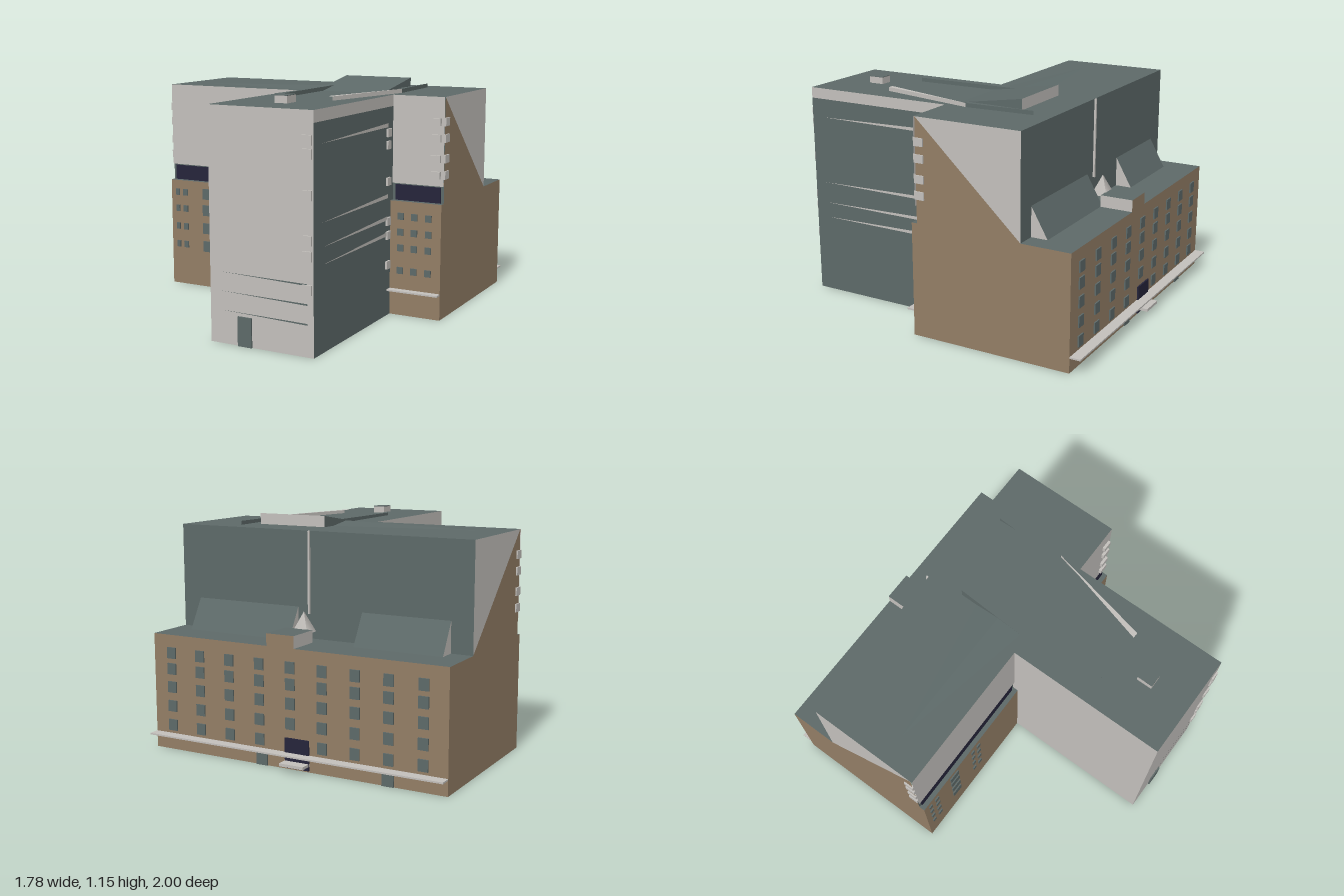
import * as THREE from 'three';

const mat = (name, color) => {
  const m = new THREE.MeshStandardMaterial({ color, side: THREE.DoubleSide });
  m.name = name;
  return m;
};

export function createModel() {
  const pale = mat('pale render', 0xc2bfbb);
  const tan = mat('tan stone', 0x927d65);
  const slate = mat('slate', 0x5d6968);
  const navy = mat('dark glazing', 0x25243a);

  const model = new THREE.Group();
  const building = new THREE.Group();
  building.name = 'building';
  building.rotation.y = -0.281;
  model.add(building);

  // Flat convex panel from its corner points
  function panel(name, m, ...pts) {
    const pos = [];
    for (let i = 1; i < pts.length - 1; i++) pos.push(...pts[0], ...pts[i], ...pts[i + 1]);
    const g = new THREE.BufferGeometry();
    g.setAttribute('position', new THREE.Float32BufferAttribute(pos, 3));
    g.computeVertexNormals();
    const mesh = new THREE.Mesh(g, m);
    mesh.name = name;
    building.add(mesh);
  }
  // Upright wall facing front or back, upright wall facing a side, level roof
  const wallZ = (name, m, x0, x1, y0, y1, z) =>
    panel(name, m, [x0, y0, z], [x1, y0, z], [x1, y1, z], [x0, y1, z]);
  const wallX = (name, m, z0, z1, y0, y1, x) =>
    panel(name, m, [x, y0, z1], [x, y0, z0], [x, y1, z0], [x, y1, z1]);
  const roof = (name, m, x0, x1, z0, z1, y) =>
    panel(name, m, [x0, y, z1], [x1, y, z1], [x1, y, z0], [x0, y, z0]);
  function box(name, m, w, h, d, x, y, z) {
    const mesh = new THREE.Mesh(new THREE.BoxGeometry(w, h, d), m);
    mesh.name = name;
    mesh.position.set(x, y, z);
    building.add(mesh);
  }

  const L = -0.893, R = 0.7, BACK = -0.73, FRONT = 0.115;
  const UB = -0.475, UF = 0.085, WL = -0.11, WR = 0.43, WF = 0.907;
  const MID = 0.58, TOP = 1.1;

  // Main bar: stone base, rendered upper floors, open underneath
  wallZ('baseBack', tan, L, R, 0, MID, BACK);
  wallZ('upperBack', slate, L, R, MID, TOP, UB);
  for (const [x0, x1] of [[L, WL], [WR, R]]) {
    wallZ('baseFront', tan, x0, x1, 0, MID, FRONT);
    wallZ('bandWall', slate, x0, x1, MID, 0.67, UF);
    box('glazingBand', navy, x1 - x0 - 0.03, 0.078, 0.006, (x0 + x1) / 2, 0.62, UF + 0.003);
    wallZ('upperFront', pale, x0, x1, 0.665, TOP, UF + 0.008);
    roof('frontLedge', slate, x0, x1, UF, FRONT, MID);
  }
  for (const x of [L, R]) {
    wallX('baseEnd', tan, BACK, FRONT, 0, MID, x);
    panel('endStoneTriangle', tan, [x, MID, UF], [x, TOP, UF], [x, MID, UB]);
    panel('endPaleTriangle', pale, [x, TOP, UF], [x, TOP, UB], [x, MID, UB]);
  }
  roof('stepRoof', slate, L, R, BACK, UB, MID);
  roof('mainRoof', slate, L, R, UB, UF + 0.008, TOP);

  // Front wing
  wallZ('wingFront', pale, WL, WR, 0, TOP, WF);
  wallX('wingLeftWall', pale, UF, WF, 0, TOP, WL);
  wallX('wingRightWall', slate, UF, WF, 0, 1.045, WR);
  wallX('wingRightBand', pale, UF, WF, 1.045, TOP, WR);
  roof('wingRoof', slate, WL, WR, UF, WF, TOP);
  box('wingDoor', slate, 0.073, 0.14, 0.008, 0.075, 0.07, WF + 0.004);

  // Tapered string courses on the wing
  for (const y of [0.95, 0.6, 0.49, 0.41]) {
    panel('sideCourse', pale, [WR + 0.006, y, 0.84], [WR + 0.006, y - 0.002, 0.16],
      [WR + 0.006, y + 0.018, 0.16]);
  }
  for (const y of [0.34, 0.25, 0.16]) {
    panel('frontCourse', slate, [-0.05, y, WF + 0.004], [0.4, y - 0.012, WF + 0.004],
      [0.4, y - 0.004, WF + 0.004]);
  }
  // Small pale blocks by the corners
  for (const y of [0.97, 0.91, 0.73, 0.53, 0.46, 0.31]) {
    box('cornerBlock', pale, 0.045, 0.045, 0.012, 0.4, y, WF + 0.003);
    box('cornerBlock', pale, 0.012, 0.04, 0.04, WR + 0.004, y - 0.05, 0.15);
  }
  for (const y of [0.98, 0.9, 0.8, 0.72]) {
    for (const x of [L, R]) box('endBlock', pale, 0.014, 0.04, 0.05, x, y, 0.065);
    box('frontBlock', pale, 0.05, 0.035, 0.02, R - 0.04, y, UF + 0.012);
  }

  // Rear windows in nine columns
  for (let c = 0; c < 9; c++) {
    for (const y of [0.49, 0.41, 0.318, 0.222, 0.125]) {
      if (c === 4 && y < 0.2) continue;
      box('rearWindow', slate, 0.05, 0.056, 0.008, 0.595 - c * 0.171, y, BACK - 0.003);
    }
  }
  for (const x of [0.07, -0.6]) box('rearSideDoor', slate, 0.06, 0.07, 0.008, x, 0.035, BACK - 0.003);

  // Front windows: small, large and paired columns
  for (const y of [0.515, 0.425, 0.325, 0.225]) {
    for (const [x, w, h] of [[-0.85, 0.022, 0.035], [-0.8, 0.028, 0.035], [-0.655, 0.064, 0.058],
      [-0.5, 0.022, 0.035], [-0.455, 0.025, 0.035]])
      box('frontWindow', slate, w, h, 0.008, x, y, FRONT + 0.003);
  }
  for (const y of [0.505, 0.425, 0.345, 0.23])
    for (const x of [0.487, 0.56, 0.635])
      box('frontWindow', slate, 0.032, 0.034, 0.008, x, y, FRONT + 0.003);

  // Rear entrance, canopies and step
  box('rearDoor', navy, 0.13, 0.145, 0.008, -0.125, 0.08, BACK - 0.004);
  box('rearCanopy', pale, R - L, 0.008, 0.055, (L + R) / 2, 0.078, BACK - 0.028);
  box('entranceStep', pale, 0.13, 0.014, 0.06, -0.125, 0.035, BACK - 0.03);
  box('frontCanopy', pale, R - WR, 0.008, 0.04, (R + WR) / 2, 0.13, FRONT + 0.018);

  // Raised centre of the rear parapet
  wallZ('parapetFace', tan, -0.11, 0.04, MID, 0.64, BACK);
  for (const x of [-0.11, 0.04]) wallX('parapetSide', pale, BACK, -0.56, MID, 0.64, x);
  wallZ('parapetInner', pale, -0.11, 0.04, MID, 0.64, -0.56);
  roof('parapetTop', slate, -0.11, 0.04, BACK, -0.56, 0.64);

  // Sloping rooflights against the upper wall
  for (const [x0, x1] of [[0.02, 0.6], [-0.784, -0.33]]) {
    panel('rooflightSlope', slate, [x0, MID, -0.56], [x0, 0.73, UB], [x1, 0.73, UB], [x1, MID, -0.56]);
    for (const x of [x0, x1])
      panel('rooflightEnd', pale, [x, MID, -0.56], [x, 0.73, UB], [x, MID, UB]);
  }

  // Flue with a flared foot
  box('flue', pale, 0.01, 0.4, 0.01, -0.045, 0.9, UB - 0.006);
  const foot = new THREE.Mesh(new THREE.ConeGeometry(0.06, 0.1, 4), pale);
  foot.name = 'flueFoot';
  foot.position.set(-0.045, 0.67, -0.53);
  foot.rotation.y = Math.PI / 4;
  building.add(foot);

  // Wedge-shaped roof house
  const a = -0.02, b = 0.354, zb = -0.287, zf = 0.06, yb = 1.155;
  panel('roofHouseTop', slate, [a, yb, zb], [a, TOP, zf], [b, TOP, zf], [b, yb, zb]);
  wallZ('roofHouseBack', pale, a, b, TOP, yb, zb);
  for (const x of [a, b]) panel('roofHouseSide', slate, [x, TOP, zb], [x, TOP, zf], [x, yb, zb]);

  // Low tapered ridges across the roof
  function ridge(m, x0, z0, x1, z1, w) {
    const h = 1.12;
    panel('roofRidgeTop', m, [x0, h, z0], [x1 - w, h, z1], [x1, h, z1]);
    panel('roofRidgeSide', m, [x0, TOP, z0], [x0, h, z0], [x1, h, z1], [x1, TOP, z1]);
  }
  ridge(pale, 0.425, -0.02, 0.31, 0.506, 0.03);
  ridge(slate, 0.41, -0.379, 0.425, -0.02, 0.03);
  ridge(slate, 0.02, -0.07, 0.03, 0.495, 0.035);
  panel('roofFold', slate, [-0.75, TOP, -0.08], [0.02, 1.118, -0.07], [-0.02, TOP, 0.06]);
  panel('roofFold', slate, [-0.75, TOP, -0.08], [0.02, 1.118, -0.07], [-0.02, TOP, -0.2]);

  // Roof vent
  box('roofVent', pale, 0.066, 0.034, 0.08, 0.157, 1.117, 0.673);
  box('roofVentCap', slate, 0.066, 0.003, 0.08, 0.157, 1.1355, 0.673);

  return model;
}
